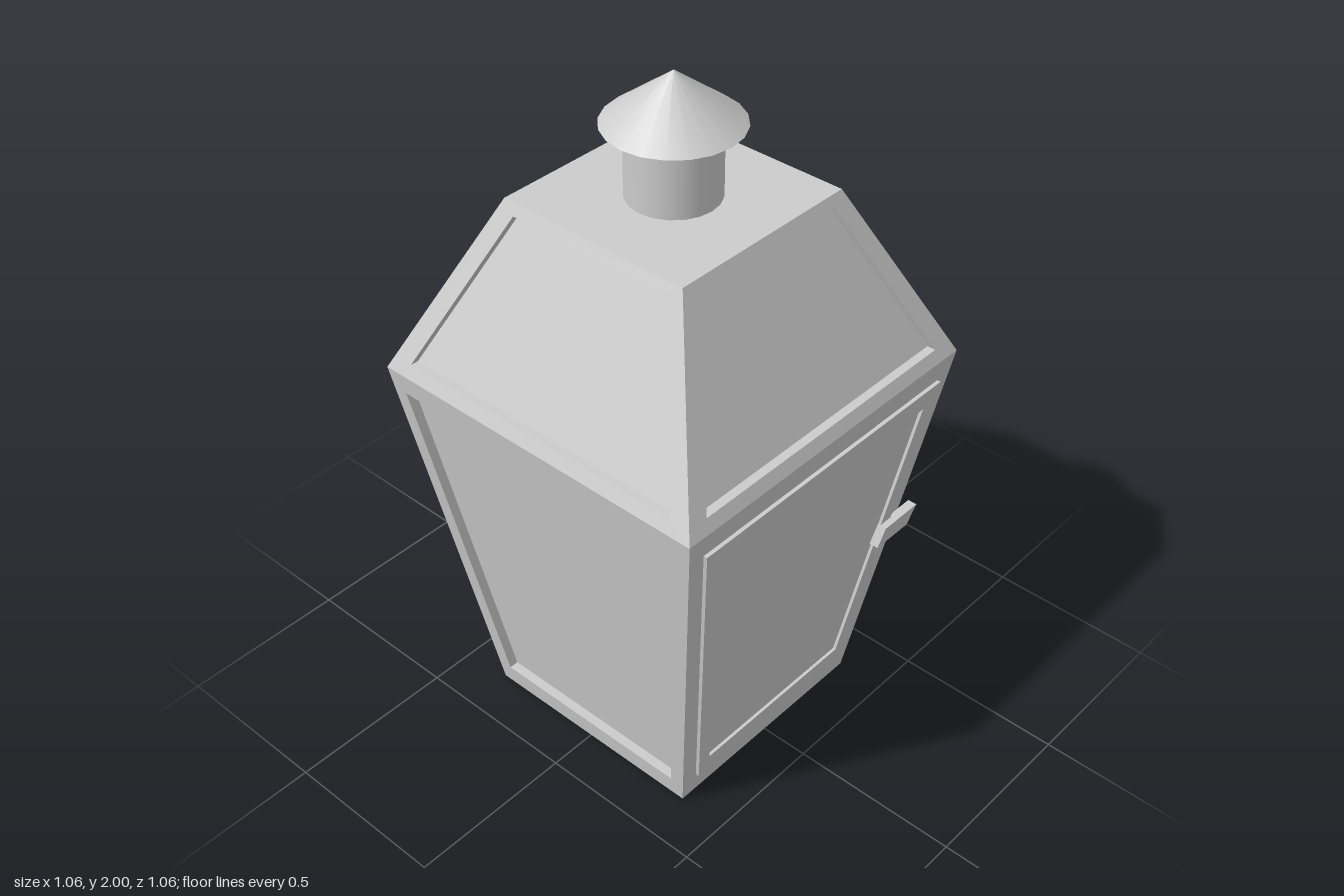
import * as THREE from 'three';

const material = new THREE.MeshStandardMaterial({ color: 0xcccccc });

// Heights and half-widths of the three square levels of the lantern
const BASE = { y: 0, w: 0.355 }, EAVE = { y: 1.155, w: 0.53 }, TOP = { y: 1.66, w: 0.295 };

// Four corners lying on a sloped +z wall between two levels, offset outward in z
function corners(low, high, y0, w0, y1, w1, offset = 0) {
  const z = (y) => low.w + (high.w - low.w) * (y - low.y) / (high.y - low.y) + offset;
  return [[-w0, y0, z(y0)], [w0, y0, z(y0)], [w1, y1, z(y1)], [-w1, y1, z(y1)]];
}

// Joins successive four-corner loops with quads and caps the last one
function loopMesh(name, loops) {
  const pos = [];
  const quad = (a, b, c, d) => pos.push(...a, ...b, ...c, ...a, ...c, ...d);
  for (let k = 0; k + 1 < loops.length; k++) {
    for (let i = 0; i < 4; i++) {
      const j = (i + 1) % 4;
      quad(loops[k][i], loops[k][j], loops[k + 1][j], loops[k + 1][i]);
    }
  }
  quad(...loops[loops.length - 1]);
  const geometry = new THREE.BufferGeometry();
  geometry.setAttribute('position', new THREE.Float32BufferAttribute(pos, 3));
  geometry.computeVertexNormals();
  return named(name, geometry);
}

function named(name, geometry) {
  const mesh = new THREE.Mesh(geometry, material);
  mesh.name = name;
  return mesh;
}

// Wall with a framed, recessed pane
function framedWall(name, low, high, opening, depth) {
  return loopMesh(name, [
    corners(low, high, low.y, low.w, high.y, high.w),
    corners(low, high, ...opening),
    corners(low, high, ...opening, -depth),
  ]);
}

export function createModel() {
  const model = new THREE.Group();
  model.name = 'lantern';

  // Four sides; the front lower wall is plain because it carries the door
  ['front', 'right', 'back', 'left'].forEach((side, i) => {
    const roof = framedWall(side + 'RoofPane', EAVE, TOP, [1.19, 0.452, 1.63, 0.252], 0.025);
    const wall = i === 0
      ? loopMesh('frontWall', [corners(BASE, EAVE, BASE.y, BASE.w, EAVE.y, EAVE.w)])
      : framedWall(side + 'Wall', BASE, EAVE, [0.065, 0.32, 1.09, 0.475], 0.028);
    for (const part of [roof, wall]) {
      part.rotation.y = i * Math.PI / 2;
      model.add(part);
    }
  });

  // Floor and flat roof top
  const floor = named('floor', new THREE.PlaneGeometry(BASE.w * 2, BASE.w * 2));
  floor.rotation.x = Math.PI / 2;
  const roofTop = named('roofTop', new THREE.PlaneGeometry(TOP.w * 2, TOP.w * 2));
  roofTop.rotation.x = -Math.PI / 2;
  roofTop.position.y = TOP.y;
  model.add(floor, roofTop);

  // Raised door frame with its sunken pane
  const outer = [0.075, 0.313, 1.085, 0.468], inner = [0.135, 0.28, 1.02, 0.412];
  model.add(loopMesh('door', [
    corners(BASE, EAVE, ...outer),
    corners(BASE, EAVE, ...outer, 0.011),
    corners(BASE, EAVE, ...inner, 0.011),
    corners(BASE, EAVE, ...inner, 0.002),
  ]));

  // Slanted latch plate, leaning with the door
  const plate = new THREE.Shape([[0.33, 0.55], [0.465, 0.55], [0.49, 0.615], [0.348, 0.615]]
    .map(([x, y]) => new THREE.Vector2(x, y)));
  const latchGeometry = new THREE.ExtrudeGeometry(plate, { depth: 0.028, bevelEnabled: false });
  const p = latchGeometry.attributes.position;
  for (let i = 0; i < p.count; i++) {
    p.setZ(i, p.getZ(i) + 0.446 + 0.15 * (p.getY(i) - 0.58));
  }
  latchGeometry.computeVertexNormals();
  model.add(named('latch', latchGeometry));

  // Chimney and conical cap
  const chimney = named('chimney', new THREE.CylinderGeometry(0.126, 0.126, 0.2, 20));
  chimney.position.y = 1.76;
  const cap = named('chimneyCap', new THREE.ConeGeometry(0.185, 0.14, 20));
  cap.position.y = 1.93;
  model.add(chimney, cap);

  return model;
}
